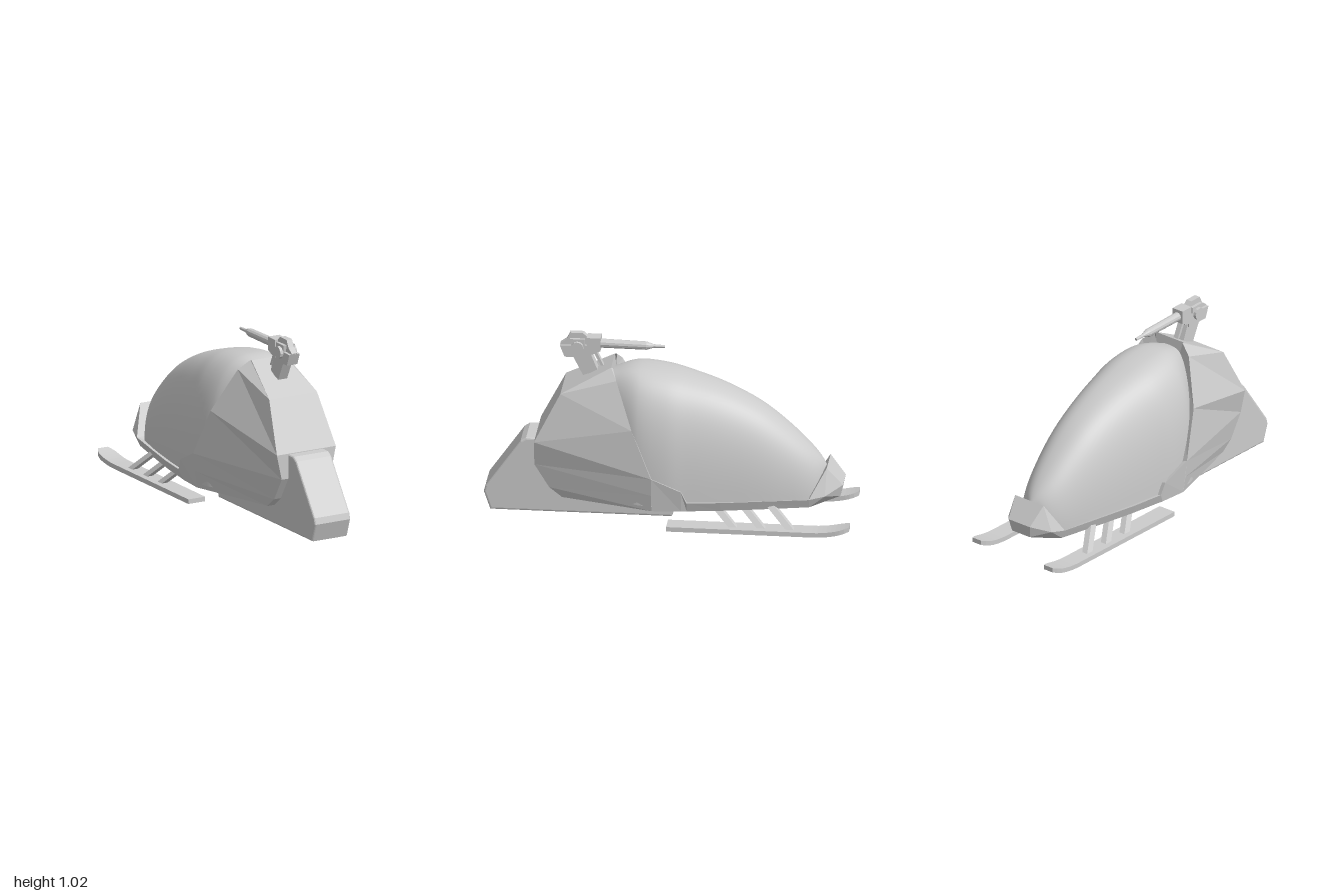
import * as THREE from 'three';

const flat = new THREE.MeshStandardMaterial({ color: 0xcccccc, flatShading: true, side: THREE.DoubleSide });
const smooth = new THREE.MeshStandardMaterial({ color: 0xcccccc, side: THREE.DoubleSide });

function add(parent, name, geometry, material = flat) {
  const mesh = new THREE.Mesh(geometry, material);
  mesh.name = name;
  parent.add(mesh);
  return mesh;
}

// Side outline given as [z, y], extruded across x and centred
function slab(outline, width, bevel = 0) {
  const shape = new THREE.Shape(outline.map(([z, y]) => new THREE.Vector2(z, y)));
  const geo = new THREE.ExtrudeGeometry(shape, {
    depth: width - 2 * bevel, bevelEnabled: bevel > 0, bevelSize: bevel,
    bevelThickness: bevel, bevelOffset: -bevel, bevelSegments: 3,
  });
  geo.translate(0, 0, -(width - 2 * bevel) / 2);
  return geo.rotateY(-Math.PI / 2);
}

const mirror = ([x, y, z]) => [-x, y, z];

// Faceted shell: back panel, cowl sides, sill, nose and floor
function hullGeometry() {
  const pos = [];
  const face = (p) => {
    for (let i = 1; i < p.length - 1; i++) pos.push(...p[0], ...p[i], ...p[i + 1]);
  };
  const both = (p) => { face(p); face(p.map(mirror).reverse()); };

  const back = [[0.1, 0.86, 0.31], [0.15, 0.715, 0.58], [0.185, 0.44, 0.72],
    [0.155, 0.3, 0.72], [0.155, 0.17, 0.64], [0.155, 0.115, 0.57]];
  const front = [[0.1, 0.86, 0.3], [0.165, 0.81, 0.275], [0.28, 0.57, 0.18],
    [0.325, 0.31, 0.07], [0.315, 0.21, 0.07], [0.3, 0.115, 0.07]];
  const sill = [front[3], [0.308, 0.235, -0.09], [0.302, 0.17, -0.12],
    [0.275, 0.168, -0.3], [0.235, 0.168, -0.5], [0.175, 0.165, -0.77]];
  const keel = [front[5], ...sill.slice(1).map(([x, , z]) => [x - 0.02, 0.115, z])];

  for (let i = 0; i < 5; i++) {
    both([back[i], back[i + 1], front[i + 1], front[i]]);
    both([sill[i], keel[i], keel[i + 1], sill[i + 1]]);
  }

  // Inner lip around the canopy
  const rim = [...front.slice(0, 3), ...sill];
  const lip = rim.map(([x, y, z]) => [x * 0.8, y * 0.92, z]);
  for (let i = 0; i < rim.length - 1; i++) both([rim[i], rim[i + 1], lip[i + 1], lip[i]]);

  // Nose facets fan out from one side corner
  const corner = [0.152, 0.18, -0.855];
  const nose = [[0.06, 0.115, -0.85], [0.062, 0.15, -0.93], [0.075, 0.22, -0.945], [0.1, 0.325, -0.86]];
  const fan = [sill[5], keel[5], ...nose, sill[5]];
  for (let i = 0; i < fan.length - 1; i++) both([corner, fan[i], fan[i + 1]]);

  // Centre strip wraps down the back, under the floor and up over the nose
  const centre = [lip[0], ...back, ...keel, ...nose, sill[5]];
  for (let i = 0; i < centre.length - 1; i++) {
    const a = centre[i], b = centre[i + 1];
    face([a, mirror(a), mirror(b), b]);
  }

  const geo = new THREE.BufferGeometry();
  geo.setAttribute('position', new THREE.Float32BufferAttribute(pos, 3));
  geo.computeVertexNormals();
  return geo;
}

// Bubble lofted from arched sections; each station is half width, top height, z
function canopyGeometry() {
  const spine = new THREE.CatmullRomCurve3([
    [0.02, 0.29, -0.86], [0.09, 0.355, -0.82], [0.138, 0.435, -0.75], [0.182, 0.55, -0.625],
    [0.215, 0.65, -0.49], [0.25, 0.745, -0.3], [0.28, 0.805, -0.12], [0.297, 0.835, 0],
    [0.285, 0.852, 0.15], [0.25, 0.845, 0.22], [0.18, 0.815, 0.31],
  ].map((p) => new THREE.Vector3(...p)));
  const rows = 40, cols = 40, base = 0.14, pos = [], index = [];
  for (let i = 0; i <= rows; i++) {
    const s = spine.getPoint(i / rows);
    const power = 2 / (2.1 + 0.7 * Math.min(1, 1.3 * i / rows));
    for (let j = 0; j <= cols; j++) {
      const a = Math.PI * j / cols, c = Math.cos(a), h = Math.max(0, Math.sin(a));
      pos.push(s.x * Math.sign(c) * Math.abs(c) ** power, base + (s.y - base) * h ** power, s.z);
      if (i < rows && j < cols) {
        const p = i * (cols + 1) + j, q = p + cols + 1;
        index.push(p, p + 1, q, p + 1, q + 1, q);
      }
    }
  }
  const geo = new THREE.BufferGeometry();
  geo.setAttribute('position', new THREE.Float32BufferAttribute(pos, 3));
  geo.setIndex(index);
  geo.computeVertexNormals();
  return geo;
}

// Flat runner whose tip curls up and narrows
function skiGeometry() {
  const geo = new THREE.BoxGeometry(0.105, 0.026, 0.99, 1, 1, 40);
  geo.translate(0, 0.015, -0.505);
  const p = geo.attributes.position;
  for (let i = 0; i < p.count; i++) {
    const z = p.getZ(i);
    const curl = Math.max(0, (-z - 0.8) / 0.2), tip = Math.max(0, (-z - 0.92) / 0.08);
    p.setY(i, p.getY(i) + 0.034 * curl ** 2);
    p.setX(i, p.getX(i) * (1 - 0.42 * tip ** 2.5));
  }
  geo.computeVertexNormals();
  return geo;
}

// Leaning strut: a box sheared outward and forward towards its foot
function strutGeometry(side) {
  const geo = new THREE.BoxGeometry(0.035, 0.12, 0.045);
  const p = geo.attributes.position;
  for (let i = 0; i < p.count; i++) {
    const drop = 0.5 - p.getY(i) / 0.12;
    p.setX(i, p.getX(i) + side * (0.185 + 0.075 * drop));
    p.setZ(i, p.getZ(i) - 0.125 * drop);
  }
  geo.translate(0, 0.08, 0);
  return geo;
}

function createGun() {
  const gun = new THREE.Group();
  gun.name = 'gun';
  add(gun, 'gunPost', slab([[0.47, 0.78], [0.39, 0.81], [0.43, 0.91], [0.53, 0.9]], 0.056));
  add(gun, 'gunBrace', slab([[0.375, 0.835], [0.36, 0.835], [0.4, 0.92], [0.42, 0.92]], 0.03));
  add(gun, 'gunBreech', slab([[0.595, 0.955], [0.57, 0.885], [0.43, 0.885], [0.4, 0.92],
    [0.4, 0.99], [0.45, 1.0], [0.47, 1.02], [0.54, 1.02], [0.56, 0.98]], 0.034));
  add(gun, 'gunRear', slab([[0.595, 0.95], [0.57, 0.885], [0.43, 0.885], [0.43, 0.955]], 0.066));
  add(gun, 'gunReceiver', slab([[0.45, 0.9], [0.41, 0.91], [0.375, 0.925], [0.375, 1.0], [0.45, 1.0]], 0.07));
  add(gun, 'gunCheek', slab([[0.53, 0.93], [0.51, 0.91], [0.46, 0.93], [0.46, 0.99], [0.54, 0.99]], 0.07));

  const pivot = add(gun, 'gunPivot', new THREE.CylinderGeometry(0.034, 0.034, 0.104, 12));
  pivot.rotation.z = Math.PI / 2;
  pivot.position.set(0, 0.944, 0.5);

  const profile = [[0, 0], [0.025, 0], [0.023, 0.25], [0.01, 0.29], [0.008, 0.35], [0, 0.35]];
  const barrel = add(gun, 'gunBarrel',
    new THREE.LatheGeometry(profile.map(([r, h]) => new THREE.Vector2(r, h)), 12));
  barrel.rotation.x = -Math.PI / 2 - 0.015;
  barrel.position.set(0, 0.96, 0.378);
  return gun;
}

export function createModel() {
  const model = new THREE.Group();
  model.name = 'snowVehicle';

  add(model, 'hull', hullGeometry());
  add(model, 'canopy', canopyGeometry(), smooth);
  add(model, 'track', slab([[0.965, 0.008], [1, 0.11], [0.99, 0.145], [0.8, 0.415], [0.77, 0.435],
    [0.7, 0.437], [0.5, 0.2], [-0.06, 0.14], [-0.055, 0.1], [-0.02, 0.008]], 0.226, 0.012));

  for (const side of [1, -1]) {
    const name = side > 0 ? 'left' : 'right';
    add(model, name + 'Ski', skiGeometry()).position.x = side * 0.253;
    for (const z of [-0.25, -0.405, -0.56]) {
      add(model, name + 'Strut', strutGeometry(side)).position.z = z;
    }
  }

  model.add(createGun());
  return model;
}
